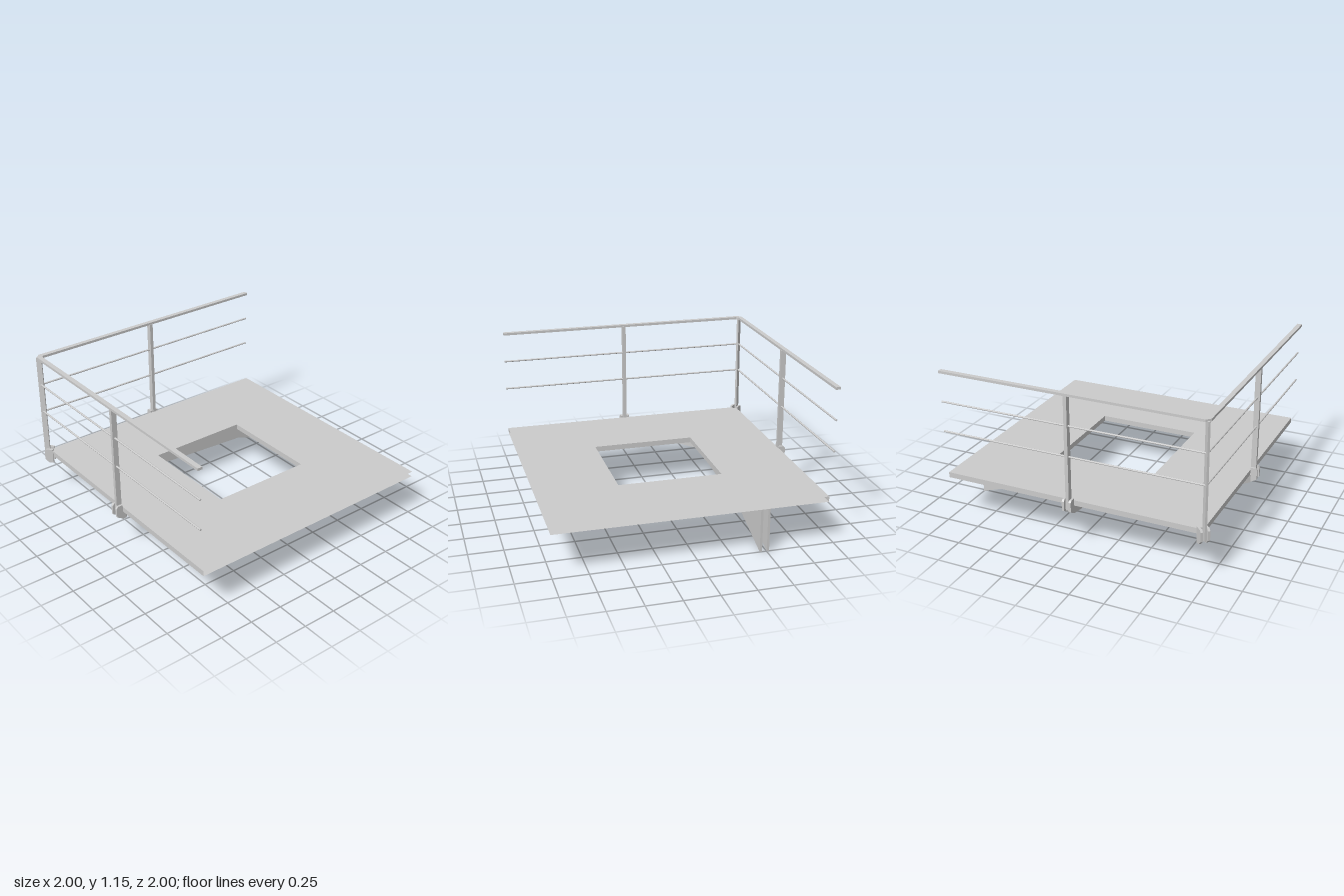
import * as THREE from 'three';

const mat = new THREE.MeshStandardMaterial({ color: 0xcccccc, flatShading: true });
const openMat = new THREE.MeshStandardMaterial({ color: 0xcccccc, flatShading: true, side: THREE.DoubleSide });
const TOP = 0.36, UNDER = 0.32, PLATE = 0.017, SPREAD = 0.026;

function add(parent, name, geometry, material = mat) {
  const mesh = new THREE.Mesh(geometry, material);
  mesh.name = name;
  parent.add(mesh);
  return mesh;
}

const points = (list) => list.map(([a, b]) => new THREE.Vector2(a, b));

// Vertical plate following a plan path of [x, z, bottomY], shifted sideways by offset
function platePath(path, offset) {
  const pos = [], index = [];
  const dir = (a, b) => new THREE.Vector2(b[0] - a[0], b[1] - a[1]).normalize();
  path.forEach((p, i) => {
    const d0 = i > 0 ? dir(path[i - 1], p) : dir(p, path[1]);
    const d1 = i < path.length - 1 ? dir(p, path[i + 1]) : d0;
    const d = d0.clone().add(d1).normalize();
    const mitre = 1 / d.dot(d0);
    const corner = (o, y) => pos.push(p[0] - d.y * o * mitre, y, p[1] + d.x * o * mitre);
    const lo = offset - PLATE / 2, hi = offset + PLATE / 2;
    corner(lo, p[2]); corner(hi, p[2]); corner(hi, UNDER); corner(lo, UNDER);
    if (i < path.length - 1) {
      for (let j = 0; j < 4; j++) {
        const a = i * 4 + j, b = i * 4 + (j + 1) % 4;
        index.push(a, a + 4, b + 4, a, b + 4, b);
      }
    }
  });
  const e = (path.length - 1) * 4;
  index.push(0, 1, 2, 0, 2, 3, e, e + 2, e + 1, e, e + 3, e + 2);
  const g = new THREE.BufferGeometry();
  g.setAttribute('position', new THREE.Float32BufferAttribute(pos, 3));
  g.setIndex(index);
  const flat = g.toNonIndexed();
  flat.computeVertexNormals();
  return flat;
}

function twinBeam(parent, name, path) {
  const beam = new THREE.Group();
  beam.name = name;
  for (const s of [-1, 1]) add(beam, 'beamPlate', platePath(path, s * SPREAD));
  parent.add(beam);
}

// Railing post with its twin-plate edge bracket; local +z points outward
function post(parent, name, x, z, angle, width, inner, outer) {
  const g = new THREE.Group();
  g.name = name;
  g.position.set(x, 0, z);
  g.rotation.y = angle;
  const bar = add(g, 'postBar', new THREE.BoxGeometry(width, 0.85, 0.04));
  bar.position.set(0, 0.715, 0.015);
  const profile = new THREE.Shape(points([
    [inner, 0.26], [0, 0.26], [outer, 0.29], [outer, 0.36], [outer - 0.012, 0.375], [inner, 0.375],
  ]));
  for (const s of [-1, 1]) {
    const geo = new THREE.ExtrudeGeometry(profile, { depth: PLATE, bevelEnabled: false });
    geo.translate(0, 0, -PLATE / 2);
    geo.rotateY(-Math.PI / 2);
    add(g, 'bracketPlate', geo).position.x = s * SPREAD;
  }
  parent.add(g);
}

// Thin round rail between two points
function rod(parent, a, b) {
  const from = new THREE.Vector3(...a), to = new THREE.Vector3(...b);
  const d = to.clone().sub(from);
  const mesh = add(parent, 'middleRail', new THREE.CylinderGeometry(0.007, 0.007, d.length(), 8));
  mesh.position.copy(from).add(to).multiplyScalar(0.5);
  mesh.quaternion.setFromUnitVectors(new THREE.Vector3(0, 1, 0), d.normalize());
}

// Upright strip along a plan polyline, spanning the floor thickness
function floorEdge(parent, name, line) {
  const pos = [];
  for (let i = 0; i < line.length - 1; i++) {
    const [ax, az] = line[i], [bx, bz] = line[i + 1];
    pos.push(ax, UNDER, az, bx, UNDER, bz, bx, TOP, bz, ax, UNDER, az, bx, TOP, bz, ax, TOP, az);
  }
  const g = new THREE.BufferGeometry();
  g.setAttribute('position', new THREE.Float32BufferAttribute(pos, 3));
  g.computeVertexNormals();
  add(parent, name, g, openMat);
}

export function createModel() {
  const model = new THREE.Group();
  model.name = 'balconyPlatform';

  // Floor: two skins with a square opening, closed only on the railing sides and in the opening
  const floor = new THREE.Group();
  floor.name = 'floor';
  const outline = [[-0.95, -1], [-0.95, 0.91], [-0.91, 0.95], [1, 0.95], [1, -1]];
  const hole = [[-0.36, -0.42], [0.41, -0.42], [0.41, 0.35], [-0.36, 0.35]];
  const shape = new THREE.Shape(points(outline));
  shape.holes.push(new THREE.Path(points(hole)));
  const topSkin = new THREE.ShapeGeometry(shape).rotateX(Math.PI / 2);
  // Reverse the upper skin so that it faces up
  const idx = topSkin.index.array;
  for (let i = 0; i < idx.length; i += 3) [idx[i], idx[i + 1]] = [idx[i + 1], idx[i]];
  topSkin.computeVertexNormals();
  add(floor, 'floorTop', topSkin, openMat).position.y = TOP;
  add(floor, 'floorUnderside', new THREE.ShapeGeometry(shape).rotateX(Math.PI / 2), openMat).position.y = UNDER;
  floorEdge(floor, 'outerEdge', outline.slice(0, 4).reverse());
  floorEdge(floor, 'openingEdge', [...hole, hole[0]]);
  model.add(floor);

  // Supporting beams of paired plates
  twinBeam(model, 'mainBeam', [
    [-0.485, -1, 0], [-0.485, -0.51, 0.165], [-0.485, -0.025, 0.19],
    [-0.485, 0.47, 0.222], [0.025, 0.94, 0.26], [0.025, 0.952, 0.26],
  ]);
  twinBeam(model, 'sideBeam', [[-0.505, -0.025, 0.19], [-0.95, -0.025, 0.26]]);

  // Posts
  post(model, 'frontPost', 0.025, 0.95, 0, 0.025, 0, 0.05);
  post(model, 'sidePost', -0.95, -0.025, -Math.PI / 2, 0.025, 0, 0.05);
  post(model, 'cornerPost', -0.954, 0.954, -Math.PI / 4, 0.016, -0.034, 0.03);

  // Flat handrail with a chamfered corner
  const rail = new THREE.Shape(points([
    [-0.985, -1], [-0.985, 0.955], [-0.955, 0.985], [1, 0.985],
    [1, 0.95], [-0.935, 0.95], [-0.95, 0.935], [-0.95, -1],
  ]));
  const railGeo = new THREE.ExtrudeGeometry(rail, { depth: 0.018, bevelEnabled: false });
  railGeo.rotateX(Math.PI / 2);
  add(model, 'handrail', railGeo).position.y = 1.153;

  // Middle rails on both sides
  for (const y of [0.692, 0.918]) {
    rod(model, [-0.967, y, 0.967], [1, y, 0.967]);
    rod(model, [-0.967, y, 0.967], [-0.967, y, -1]);
  }
  return model;
}
